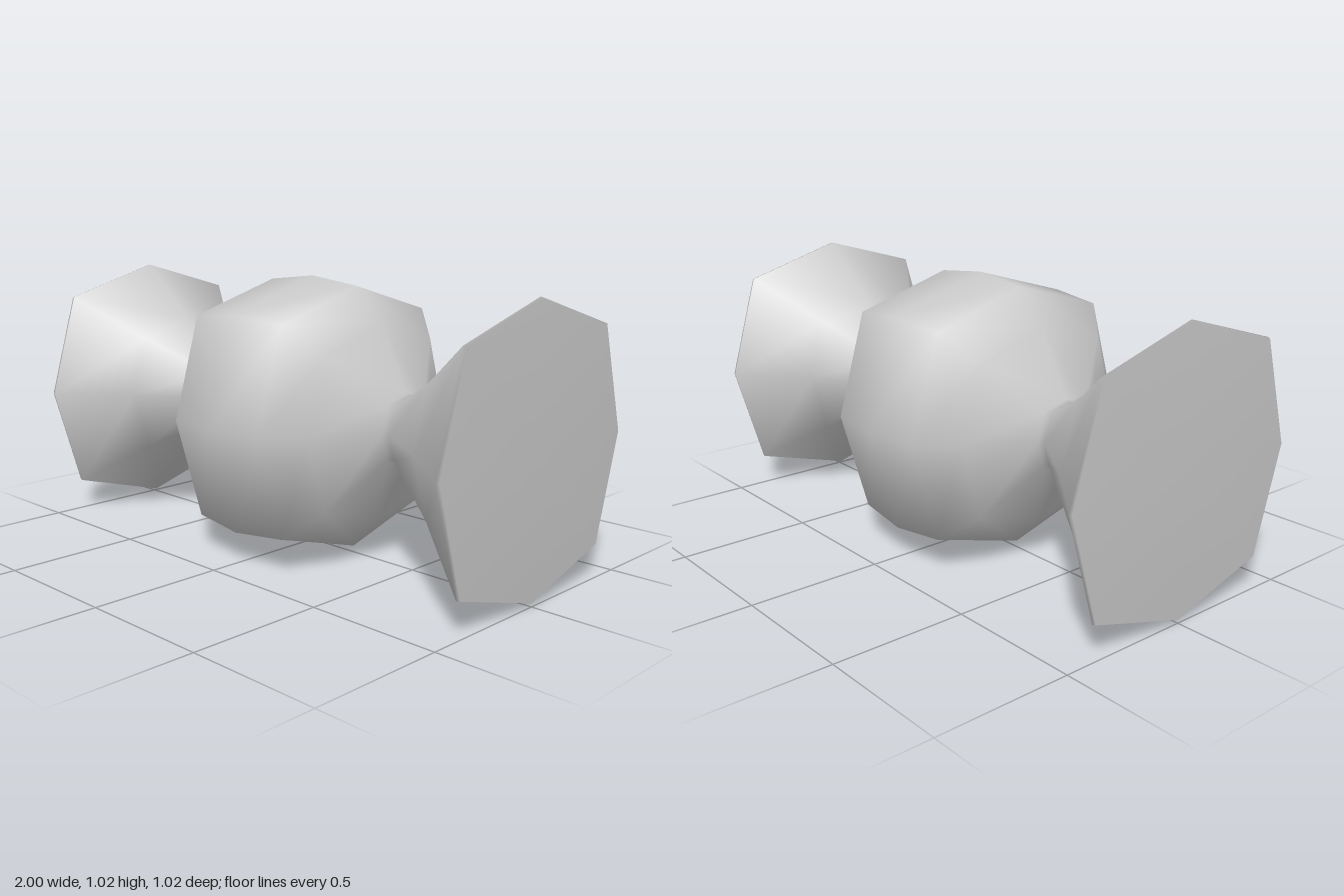
import * as THREE from 'three';
import { mergeVertices } from 'three/addons/utils/BufferGeometryUtils.js';

const CENTRE_Y = 0.509;
const CORNER = 1.094; // diagonal corners stand out a little from a regular octagon

// Half profile: [distance along x, radius], from the middle to the end face
const HALF = [
  [0, 0.508], [0.215, 0.484], [0.335, 0.36], [0.458, 0.126],
  [0.484, 0.121], [0.73, 0.287], [0.987, 0.499], // sweet, neck, flare
  [1, 0.496], [1, 0], // thin rim and flat end
];

// Eight-sided lathe along x with the diagonal corners pushed out
function octagonLathe(profile) {
  const points = profile.map(([x, r]) => new THREE.Vector2(r, x));
  const geo = new THREE.LatheGeometry(points, 8);
  const pos = geo.attributes.position;
  for (let i = 0; i < pos.count; i++) {
    const x = pos.getX(i), z = pos.getZ(i);
    const k = Math.min(Math.abs(x), Math.abs(z)) > 0.01 ? CORNER : 1;
    pos.setX(i, x * k);
    pos.setZ(i, z * k);
  }
  geo.deleteAttribute('uv');
  geo.deleteAttribute('normal');
  geo.rotateZ(-Math.PI / 2);
  const merged = mergeVertices(geo, 1e-4);
  merged.computeVertexNormals();
  return merged;
}

export function createModel() {
  const group = new THREE.Group();
  const mirrored = HALF.slice(1).map(([x, r]) => [-x, r]).reverse();

  // Sweet and twisted wrapper ends in one smooth skin
  const sweet = new THREE.Mesh(
    octagonLathe([...mirrored, ...HALF]),
    new THREE.MeshStandardMaterial({ color: 0xcccccc }),
  );
  sweet.name = 'wrappedSweet';
  sweet.position.y = CENTRE_Y;
  group.add(sweet);
  return group;
}
